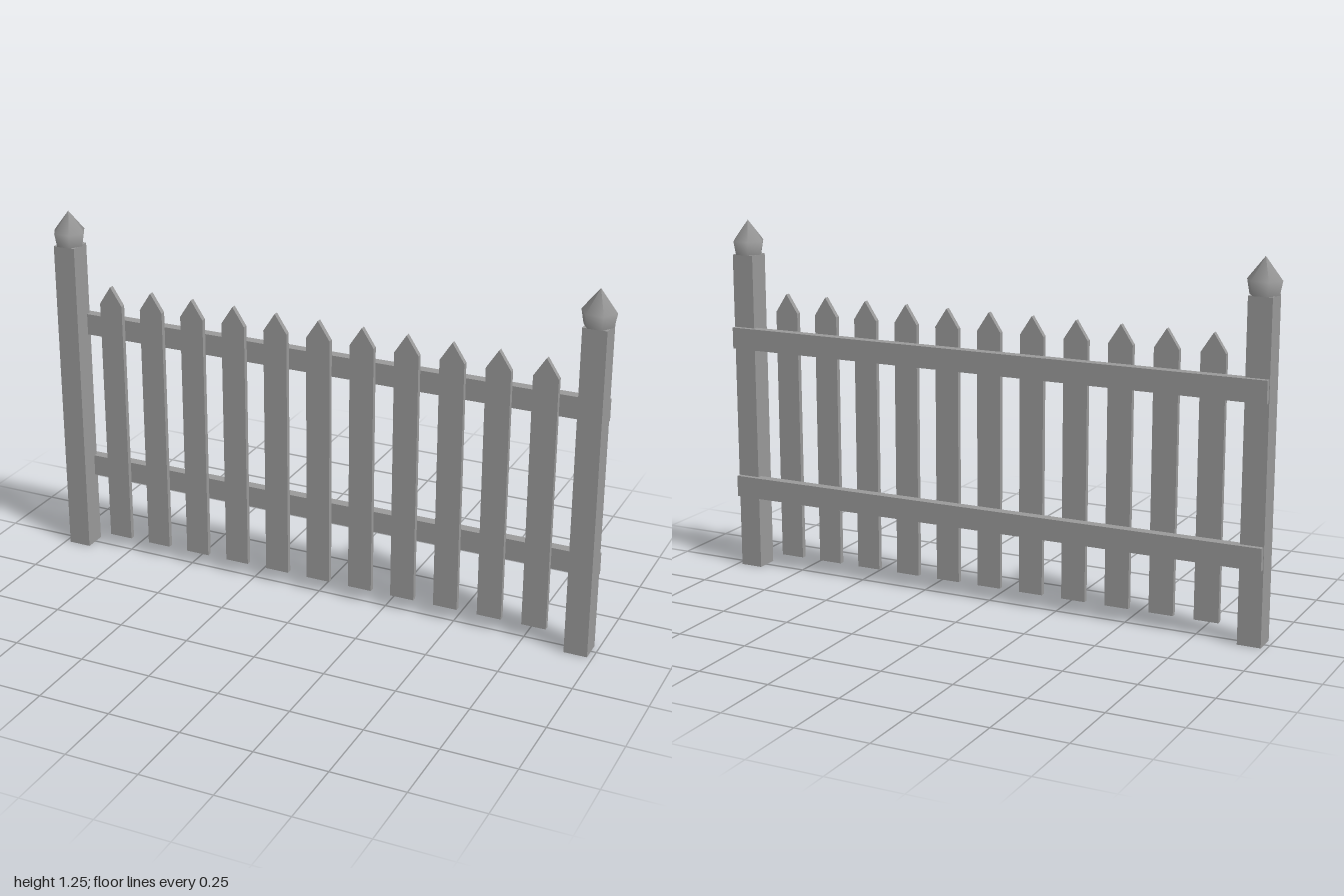
import * as THREE from 'three';

const wood = new THREE.MeshStandardMaterial({ color: 0x999999 });
wood.name = 'greyWood';

function part(name, geometry, x, y, z) {
  const mesh = new THREE.Mesh(geometry, wood);
  mesh.name = name;
  mesh.position.set(x, y, z);
  return mesh;
}

// Flat board with a pointed top
function picketGeometry(halfWidth, bottom, shoulder, tip, depth) {
  const shape = new THREE.Shape([
    new THREE.Vector2(-halfWidth, bottom),
    new THREE.Vector2(halfWidth, bottom),
    new THREE.Vector2(halfWidth, shoulder),
    new THREE.Vector2(0, tip),
    new THREE.Vector2(-halfWidth, shoulder),
  ]);
  return new THREE.ExtrudeGeometry(shape, { depth, bevelEnabled: false })
    .translate(0, 0, -depth / 2);
}

export function createModel() {
  const fence = new THREE.Group();
  fence.name = 'picketFence';

  // End posts with six-sided pointed caps
  const postTop = 1.13;
  const postGeometry = new THREE.BoxGeometry(0.08, postTop, 0.08);
  const capGeometry = new THREE.LatheGeometry([
    new THREE.Vector2(0.049, 0),
    new THREE.Vector2(0.058, 0.047),
    new THREE.Vector2(0, 0.12),
  ], 6).rotateY(Math.PI / 6);
  const capBaseGeometry = new THREE.CircleGeometry(0.049, 6).rotateX(Math.PI / 2);
  for (const [label, side] of [['left', 1], ['right', -1]]) {
    const x = side * 0.942;
    fence.add(
      part(label + 'Post', postGeometry, x, postTop / 2, 0.003),
      part(label + 'PostCap', capGeometry, x, postTop, 0.003),
      part(label + 'PostCapBase', capBaseGeometry, x, postTop, 0.003),
    );
  }

  // Two rails running across the back
  const railGeometry = new THREE.BoxGeometry(1.96, 0.075, 0.035);
  fence.add(
    part('lowerRail', railGeometry, 0, 0.298, -0.0375),
    part('upperRail', railGeometry, 0, 0.837, -0.0375),
  );

  // Evenly spaced pickets
  const board = picketGeometry(0.0425, 0.05, 0.935, 1.0, 0.018);
  for (let i = -5; i <= 5; i++) {
    fence.add(part('picket' + (i + 6), board, i * 0.157, 0, 0.002));
  }
  return fence;
}
